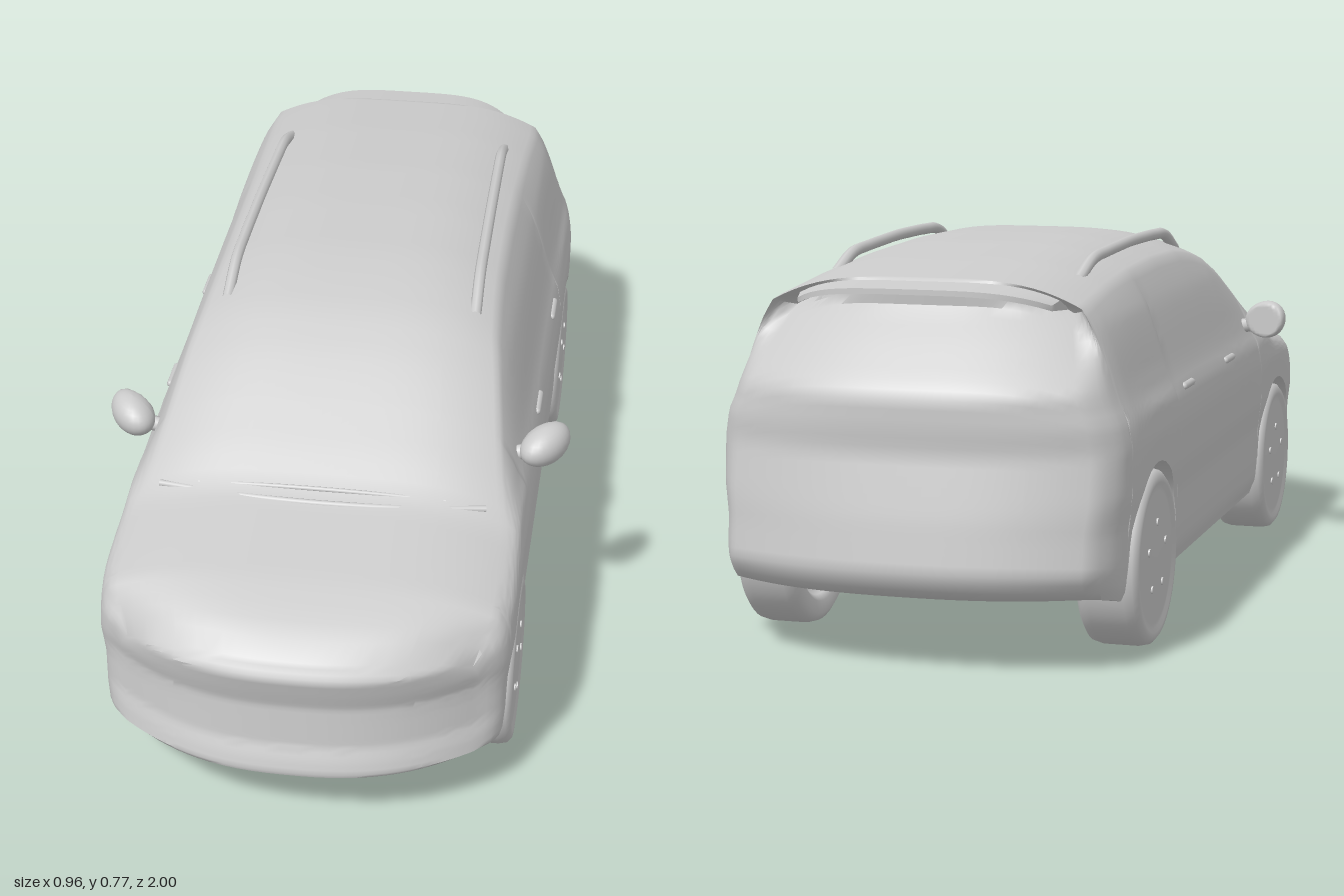
import * as THREE from 'three';
import { toCreasedNormals } from 'three/addons/utils/BufferGeometryUtils.js';

const grey = new THREE.MeshStandardMaterial({ color: 0xcccccc });
const thin = new THREE.MeshStandardMaterial({ color: 0xcccccc, side: THREE.DoubleSide });
const clamp = THREE.MathUtils.clamp;
const smooth = THREE.MathUtils.smoothstep;

// Piecewise linear lookup in a list of [input, output] pairs
function look(table, a) {
  if (a <= table[0][0]) return table[0][1];
  for (let i = 1; i < table.length; i++) {
    const [a0, b0] = table[i - 1], [a1, b1] = table[i];
    if (a <= a1) return b0 + (b1 - b0) * (a - a0) / (a1 - a0);
  }
  return table[table.length - 1][1];
}

// Profiles of the body
const TOP = [[-1, .718], [-.8, .732], [-.6, .752], [-.4, .765], [-.2, .77], [0, .766], [.1, .755], [.2, .735],
  [.3, .693], [.4, .638], [.5, .58], [.575, .532], [.6, .522], [.7, .505], [.8, .488], [.9, .462], [.97, .435], [1, .412]];
const FLOOR = [[-1, .15], [-.8, .13], [-.6, .117], [.6, .117], [.8, .125], [1, .13]];
const WIDTH = [[.12, .385], [.15, .398], [.2, .402], [.27, .402], [.33, .41], [.42, .41], [.47, .402], [.5, .388],
  [.54, .375], [.65, .345], [.72, .318], [.77, .29]];
const PLAN = [[-1, .88], [-.95, .93], [-.88, .97], [-.75, 1], [.75, 1], [.85, .985], [.93, .94], [1, .87]];
const NOSE = [[.125, -.05], [.15, 0], [.18, -.008], [.21, -.02], [.3, -.025], [.34, -.012], [.38, 0], [.41, -.02]];
const TAIL = [[.13, .06], [.17, .015], [.2, 0], [.3, .015], [.42, .04], [.47, .035], [.53, .035], [.56, .06],
  [.62, .12], [.68, .185], [.72, .18]];
const AXLES = [.605, -.6], ARCH = .19, HUB = .175;

const roofY = (s, t) => look(TOP, s) - .05 * Math.abs(t) ** 4;

// Height of the lower edge, raised over the wheels
function lowerY(s, t) {
  if (Math.abs(t) > .665) for (const c of AXLES) {
    const d = Math.abs(s - c);
    if (d < ARCH + 1e-5) return HUB + Math.sqrt(Math.max(0, ARCH * ARCH - d * d));
  }
  return look(FLOOR, s);
}

// Maps a point of a unit box (across t, up v, along s) to the car body
function bodyPoint(t, v, s) {
  const low = lowerY(s, t);
  const y = low + (roofY(s, t) - low) * v;
  const x = t * look(WIDTH, y) * look(PLAN, s) * (1 - .06 * v ** 8);
  const r = clamp((Math.abs(s) - .8) / .2, 0, 1);
  const a = Math.abs(t) ** 2.5;
  let z = s;
  if (s > 0) {
    const half = .29 - .55 * (y - .16);
    const grille = smooth(y, .17, .205) * (1 - smooth(y, .26, .3)) * (1 - smooth(Math.abs(x), half - .03, half + .02));
    const lamp = (1 - smooth(Math.abs(Math.abs(x) - .33), .01, .035)) * smooth(y, .2, .24) * (1 - smooth(y, .3, .34));
    z += r * (look(NOSE, y) - .12 * a) - (r === 1 ? .018 * grille + .008 * lamp : 0);
  } else {
    const plate = smooth(y, .34, .37) * (1 - smooth(y, .42, .44)) * (1 - smooth(Math.abs(x), .13, .19));
    z += r * (look(TAIL, y) + .08 * a) + (r === 1 ? .012 * plate : 0);
  }
  return [x, y, z];
}

function makeBody() {
  // Stations along the length, with extra ones round the arches
  const along = [];
  for (let i = 0; i <= 50; i++) {
    const s = -1 + i * .04;
    if (AXLES.every(c => Math.abs(s - c) > ARCH + .006)) along.push(s);
  }
  for (const c of AXLES) {
    for (let k = 0; k <= 20; k++) along.push(c + ARCH * Math.cos(k * Math.PI / 20));
    along.push(c + ARCH + .003, c - ARCH - .003);
  }
  along.sort((a, b) => a - b);
  // Columns across, with a step at the wall of each wheel well
  const half = [.06, .14, .22, .3, .38, .46, .54, .6, .66, .67, .73, .79, .84, .89, .93, .97, 1];
  const across = [...half.map(t => -t).reverse(), 0, ...half];
  const nt = across.length - 1, nv = 32, ns = along.length - 1;
  const geo = new THREE.BoxGeometry(2, 1, 2, nt, nv, ns);
  const p = geo.attributes.position;
  for (let i = 0; i < p.count; i++) {
    const t = across[Math.round((p.getX(i) + 1) / 2 * nt)];
    const v = Math.round((p.getY(i) + .5) * nv) / nv;
    const s = along[Math.round((p.getZ(i) + 1) / 2 * ns)];
    p.setXYZ(i, ...bodyPoint(t, v, s));
  }
  return toCreasedNormals(geo, .75);
}

function add(parent, name, geo, mat = grey) {
  const m = new THREE.Mesh(geo, mat);
  m.name = name;
  parent.add(m);
  return m;
}

const tube = (pts, r, n = 24) => new THREE.TubeGeometry(
  new THREE.CatmullRomCurve3(pts.map(q => new THREE.Vector3(...q))), n, r, 8);

// Wheel with a closed outer face and a hollow inner side
function makeWheel() {
  const wheel = new THREE.Group();
  const profile = [[0, -.01], [.11, -.01], [.118, -.05], [.13, -.06], [.155, -.0625], [.17, -.053], [.175, -.035],
    [.175, .035], [.171, .052], [.16, .061], [.148, .062], [.142, .057], [.13, .058], [.06, .06], [0, .061]];
  add(wheel, 'tyreAndRim', new THREE.LatheGeometry(profile.map(q => new THREE.Vector2(...q)), 48), thin);
  for (let k = 0; k < 5; k++) {
    const a = k * Math.PI * 2 / 5;
    add(wheel, 'wheelNut', new THREE.CylinderGeometry(.008, .008, .006, 10))
      .position.set(.07 * Math.cos(a), .06, .07 * Math.sin(a));
  }
  return wheel;
}

export function createModel() {
  const car = new THREE.Group();
  car.name = 'car';
  add(car, 'body', makeBody());

  // Spoiler: a thin slab bent down and forward at its ends
  const slab = new THREE.BoxGeometry(.54, .03, .14, 24, 1, 6);
  const p = slab.attributes.position;
  for (let i = 0; i < p.count; i++) {
    const t = p.getX(i) / .27, k = (.07 - p.getZ(i)) / .14;
    const y = p.getY(i) * (1 - .65 * k);
    p.setXYZ(i, p.getX(i) * (1 - .06 * k), .719 + y - .006 * k - .03 * t ** 4, p.getZ(i) - .81 + .07 * t ** 4 * k);
  }
  add(car, 'spoiler', toCreasedNormals(slab, .6));

  // Cowl ridge with the wipers at the foot of the windscreen
  const arc = (w, z, dz, y) => [-1, -.5, 0, .5, 1].map(t => [t * w, y - .012 * t * t, z - dz * t * t]);
  add(car, 'cowl', tube(arc(.33, .605, .045, .519), .007));
  add(car, 'wipers', tube(arc(.25, .575, .01, .533), .005));

  for (const side of [1, -1]) {
    const label = side > 0 ? 'left' : 'right';

    // Roof rail following the roof
    const rail = [];
    for (let i = 0; i <= 8; i++) {
      const s = .15 - i * .095, end = i === 0 || i === 8;
      rail.push([side * (.262 - .012 * i / 8), roofY(s, .86) + (end ? -.008 : .017), s]);
    }
    add(car, label + 'RoofRail', tube(rail, .012, 40));

    // Door mirror: tapered shell with a flat back, on a short arm
    const shell = new THREE.SphereGeometry(1, 24, 16);
    const q = shell.attributes.position;
    for (let i = 0; i < q.count; i++) {
      const x = q.getX(i), y = q.getY(i), z = q.getZ(i);
      q.setXYZ(i, x * .05, y * (.042 + .004 * x) - .004 * (1 - x), Math.max(z, -.45) * .055 - .022 * x);
    }
    shell.computeVertexNormals();
    const mirror = add(car, label + 'Mirror', shell, thin);
    mirror.position.set(side * .43, .538, .35);
    mirror.scale.x = side;
    add(car, label + 'MirrorArm', tube([[side * .35, .51, .36], [side * .385, .518, .36], [side * .42, .525, .355]], .016, 8));

    // Door handles
    for (const z of [.1, -.3]) {
      const h = add(car, label + 'DoorHandle', new THREE.CapsuleGeometry(.008, .07, 4, 8));
      h.rotation.x = Math.PI / 2;
      h.position.set(side * .398, .475, z);
    }

    for (const z of AXLES) {
      const wheel = makeWheel();
      wheel.name = label + (z > 0 ? 'Front' : 'Rear') + 'Wheel';
      wheel.rotation.z = -side * Math.PI / 2;
      wheel.position.set(side * .348, HUB, z);
      car.add(wheel);
    }
  }
  return car;
}
